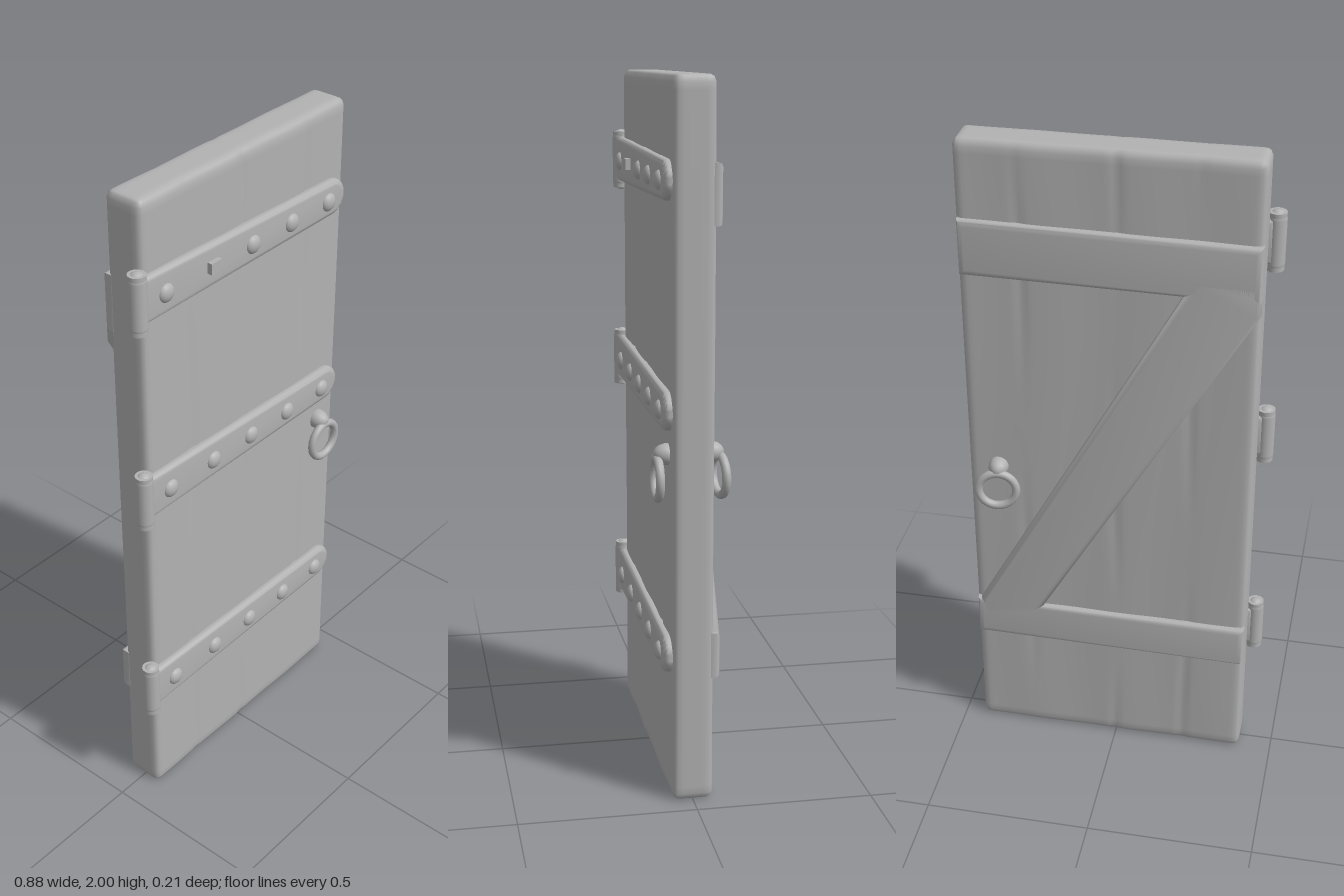
import * as THREE from 'three';
import { mergeVertices, toCreasedNormals } from 'three/addons/utils/BufferGeometryUtils.js';

const grey = new THREE.MeshStandardMaterial({ color: 0xb2b2b2 });
grey.name = 'grey';

function add(parent, name, geometry, x = 0, y = 0, z = 0) {
  const mesh = new THREE.Mesh(geometry, grey);
  mesh.name = name;
  mesh.position.set(x, y, z);
  parent.add(mesh);
  return mesh;
}

// Box with rounded edges and shallow, uneven seams between the planks
function slabGeometry(w, h, d, r) {
  let g = new THREE.BoxGeometry(w, h, d, 70, 100, 8);
  g.deleteAttribute('uv');
  g.deleteAttribute('normal');
  g = mergeVertices(g, 1e-4);
  const p = g.attributes.position;
  const half = new THREE.Vector3(w / 2 - r, h / 2 - r, d / 2 - r);
  const min = half.clone().negate();
  const seams = [-0.24, -0.02, 0.25];
  const v = new THREE.Vector3(), inner = new THREE.Vector3();
  for (let i = 0; i < p.count; i++) {
    v.fromBufferAttribute(p, i);
    inner.copy(v).clamp(min, half);
    v.sub(inner);
    if (v.lengthSq() > 0) v.setLength(r);
    v.add(inner);
    let dent = 0;
    seams.forEach((s, k) => {
      const t = (v.x - s - 0.006 * Math.sin(v.y * 5 + k)) / 0.012;
      dent += 0.004 * Math.exp(-t * t) * (0.5 + 0.5 * Math.sin(v.y * 6 + k * 2));
    });
    dent += 0.0012 * Math.sin(v.x * 22 + Math.sin(v.y * 3));
    v.z *= 1 - dent / (d / 2);
    p.setXYZ(i, v.x, v.y, v.z);
  }
  g.computeVertexNormals();
  return g;
}

// Bevelled plate lying in the xy plane, from z = 0 to the given thickness
function plate(shape, thickness, bevel) {
  const g = new THREE.ExtrudeGeometry(shape, {
    depth: thickness - 0.014, bevelThickness: 0.014, bevelSize: bevel, bevelOffset: -bevel,
    bevelSegments: 4, curveSegments: 10,
  });
  return toCreasedNormals(g, 0.8);
}

function polygon(points) {
  return new THREE.Shape(points.map(([x, y]) => new THREE.Vector2(x, y)));
}

// Iron strap, a little taller at the hinge and rounded at its far end
function strapShape(x0, x1, h0, h1) {
  const s = new THREE.Shape();
  s.moveTo(x0, -h0);
  s.lineTo(x1 - h1, -h1);
  s.absarc(x1 - h1, 0, h1, -Math.PI / 2, Math.PI / 2, false);
  s.lineTo(x0, h0);
  s.closePath();
  return s;
}

function dome(r, depth) {
  const g = new THREE.SphereGeometry(r, 14, 10);
  g.scale(1, 1, depth / r);
  return g;
}

function ringHandle(parent, side, x, tilt) {
  const handle = new THREE.Group();
  handle.name = side > 0 ? 'frontHandle' : 'backHandle';
  handle.position.set(x, 0.92, 0);
  const ring = add(handle, 'ring', new THREE.TorusGeometry(0.056, 0.0125, 10, 28), 0, 0, side * 0.088);
  ring.rotation.y = tilt;
  add(handle, 'ringMount', dome(0.03, 0.04), 0, 0.066, side * 0.06);
  parent.add(handle);
}

export function createModel() {
  const door = new THREE.Group();
  door.name = 'door';

  add(door, 'slab', slabGeometry(0.84, 2, 0.116, 0.02), 0.02, 1, 0);

  // Front straps with hinge knuckles and studs
  [[1.73, -0.006], [1.115, -0.012], [0.42, 0]].forEach(([y, slope], k) => {
    const hinge = new THREE.Group();
    hinge.name = 'hinge';
    hinge.position.y = y;
    const strap = add(hinge, 'strap', plate(strapShape(-0.415, 0.425, 0.066, 0.054), 0.03, 0.016), 0, 0, 0.05);
    strap.rotation.z = slope;
    add(hinge, 'knuckle', new THREE.CapsuleGeometry(0.026, 0.13, 6, 16), -0.419, 0, 0.063);
    add(hinge, 'knuckleCore', new THREE.CylinderGeometry(0.025, 0.025, 0.17, 16), -0.419, 0, 0.063);
    [-0.33, -0.15, 0.015, 0.18, 0.345].forEach((x, i) => {
      if (k === 0 && i === 1) {
        add(hinge, 'squareStud', new THREE.BoxGeometry(0.042, 0.032, 0.03), x, 0.004, 0.08);
      } else {
        add(hinge, 'stud', dome(0.027, 0.017), x, x * slope - 0.002, 0.078);
      }
    });
    door.add(hinge);
  });

  // Z-shaped brace on the back
  const brace = new THREE.Group();
  brace.name = 'backBrace';
  const parts = [
    ['topRail', [[-0.4, 1.6], [0.435, 1.61], [0.435, 1.775], [-0.4, 1.765]]],
    ['bottomRail', [[-0.4, 0.35], [0.435, 0.36], [0.435, 0.49], [-0.4, 0.485]]],
    ['diagonal', [[-0.4, 1.66], [-0.4, 1.56], [0.27, 0.41], [0.425, 0.41], [0.425, 0.49], [-0.22, 1.66]]],
  ];
  for (const [name, points] of parts) {
    add(brace, name, plate(polygon(points), 0.03, 0.018).scale(1, 1, 1), 0, 0, 0);
  }
  // Turn the plates to face backwards; x is mirrored by the turn
  for (const mesh of brace.children) {
    const points = parts.find(([name]) => name === mesh.name)[1];
    mesh.geometry = plate(polygon(points.map(([x, y]) => [-x, y])), 0.03, 0.018);
  }
  brace.rotation.y = Math.PI;
  brace.position.z = -0.047;
  door.add(brace);

  ringHandle(door, 1, 0.357, 0);
  ringHandle(door, -1, 0.35, 0.15);
  return door;
}
